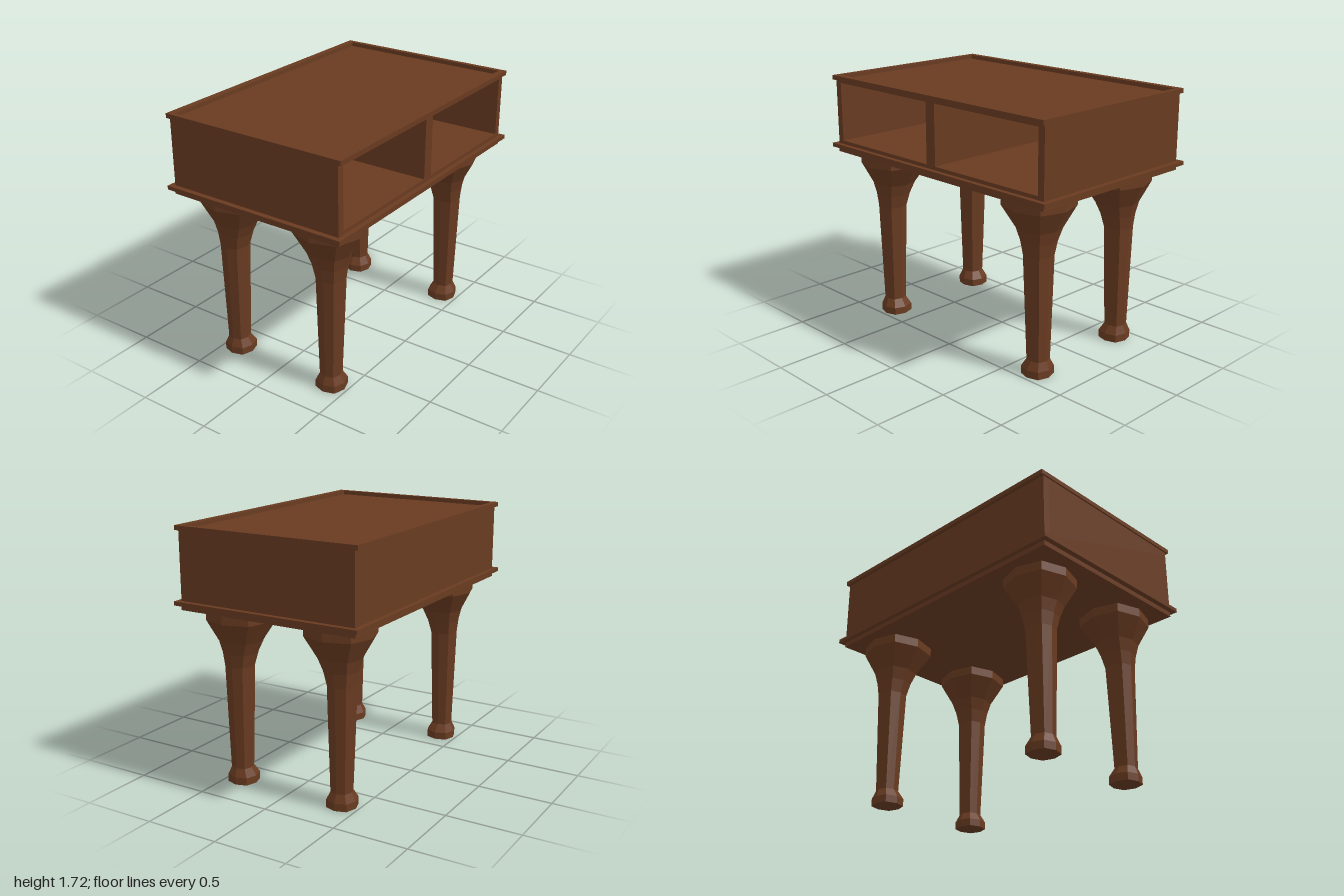
import * as THREE from 'three';

const wood = new THREE.MeshStandardMaterial({ color: 0x693b21 });
wood.name = 'brownWood';
wood.flatShading = true;

// Box given by its minimum and maximum corners
function slab(name, x0, x1, y0, y1, z0, z1) {
  const mesh = new THREE.Mesh(new THREE.BoxGeometry(x1 - x0, y1 - y0, z1 - z0), wood);
  mesh.position.set((x0 + x1) / 2, (y0 + y1) / 2, (z0 + z1) / 2);
  mesh.name = name;
  return mesh;
}

// Eight-sided leg lofted through rings: [y, half x, half z, centre x, centre z, corner fullness]
const rings = [
  [0, 0.098, 0.098, 0.703, 0.382, 0.76],
  [0.05, 0.098, 0.098, 0.703, 0.382, 0.76],
  [0.105, 0.069, 0.069, 0.71, 0.384, 0.76],
  [0.8, 0.09, 0.09, 0.705, 0.385, 0.76],
  [0.89, 0.107, 0.108, 0.701, 0.379, 0.76],
  [0.97, 0.132, 0.137, 0.697, 0.372, 0.76],
  [1.11, 0.215, 0.217, 0.687, 0.367, 0.76],
  [1.17, 0.215, 0.217, 0.687, 0.367, 0.76],
  // Shallow flare spreading under the cabinet
  [1.172, 0.235, 0.23, 0.68, 0.36, 0.95],
  [1.19, 0.332, 0.315, 0.633, 0.315, 1],
];

function legGeometry(sx, sz) {
  const pos = [], index = [], n = 8;
  for (const [y, hx, hz, cx, cz, k] of rings) {
    for (let i = 0; i < n; i++) {
      const a = (i / n) * Math.PI * 2;
      const f = i % 2 ? k * Math.SQRT2 : 1;
      pos.push(sx * cx + Math.sin(a) * f * hx, y, sz * cz + Math.cos(a) * f * hz);
    }
  }
  for (let r = 0; r < rings.length - 1; r++) {
    for (let i = 0; i < n; i++) {
      const a = r * n + i, b = r * n + (i + 1) % n;
      index.push(a, b, b + n, a, b + n, a + n);
    }
  }
  // Sole and hidden top
  const last = (rings.length - 1) * n;
  for (let i = 1; i < n - 1; i++) {
    index.push(0, i + 1, i, last, last + i, last + i + 1);
  }
  const indexed = new THREE.BufferGeometry();
  indexed.setAttribute('position', new THREE.Float32BufferAttribute(pos, 3));
  indexed.setIndex(index);
  const geo = indexed.toNonIndexed();
  geo.computeVertexNormals();
  return geo;
}

export function createModel() {
  const model = new THREE.Group();
  model.name = 'cabinetTable';

  // Base and projecting ledge
  model.add(
    slab('baseSlab', -0.965, 0.965, 1.187, 1.222, -0.63, 0.63),
    slab('ledge', -1, 1, 1.22, 1.246, -0.66, 0.66),
  );

  // Cabinet shell with two open compartments
  const cabinet = new THREE.Group();
  cabinet.name = 'cabinet';
  cabinet.add(
    slab('floor', -0.965, 0.965, 1.24, 1.27, -0.627, 0.627),
    slab('ceiling', -0.965, 0.965, 1.67, 1.692, -0.627, 0.627),
    slab('back', -0.965, 0.965, 1.27, 1.67, -0.627, -0.58),
    slab('divider', -0.04, 0.04, 1.27, 1.67, -0.58, 0.627),
  );
  for (const s of [-1, 1]) {
    cabinet.add(slab(s > 0 ? 'leftSide' : 'rightSide',
      Math.min(s * 0.917, s * 0.965), Math.max(s * 0.917, s * 0.965), 1.27, 1.67, -0.58, 0.627));
  }
  model.add(cabinet);

  // Raised rim around the recessed top
  const rim = new THREE.Group();
  rim.name = 'topRim';
  for (const s of [-1, 1]) {
    rim.add(
      slab('rimLong', -0.975, 0.975, 1.69, 1.72, Math.min(s * 0.605, s * 0.65), Math.max(s * 0.605, s * 0.65)),
      slab('rimShort', Math.min(s * 0.94, s * 0.975), Math.max(s * 0.94, s * 0.975), 1.69, 1.72, -0.605, 0.605),
    );
  }
  model.add(rim);

  // Four legs
  for (const sx of [-1, 1]) {
    for (const sz of [-1, 1]) {
      const leg = new THREE.Mesh(legGeometry(sx, sz), wood);
      leg.name = (sz > 0 ? 'front' : 'back') + (sx > 0 ? 'Left' : 'Right') + 'Leg';
      model.add(leg);
    }
  }
  return model;
}
